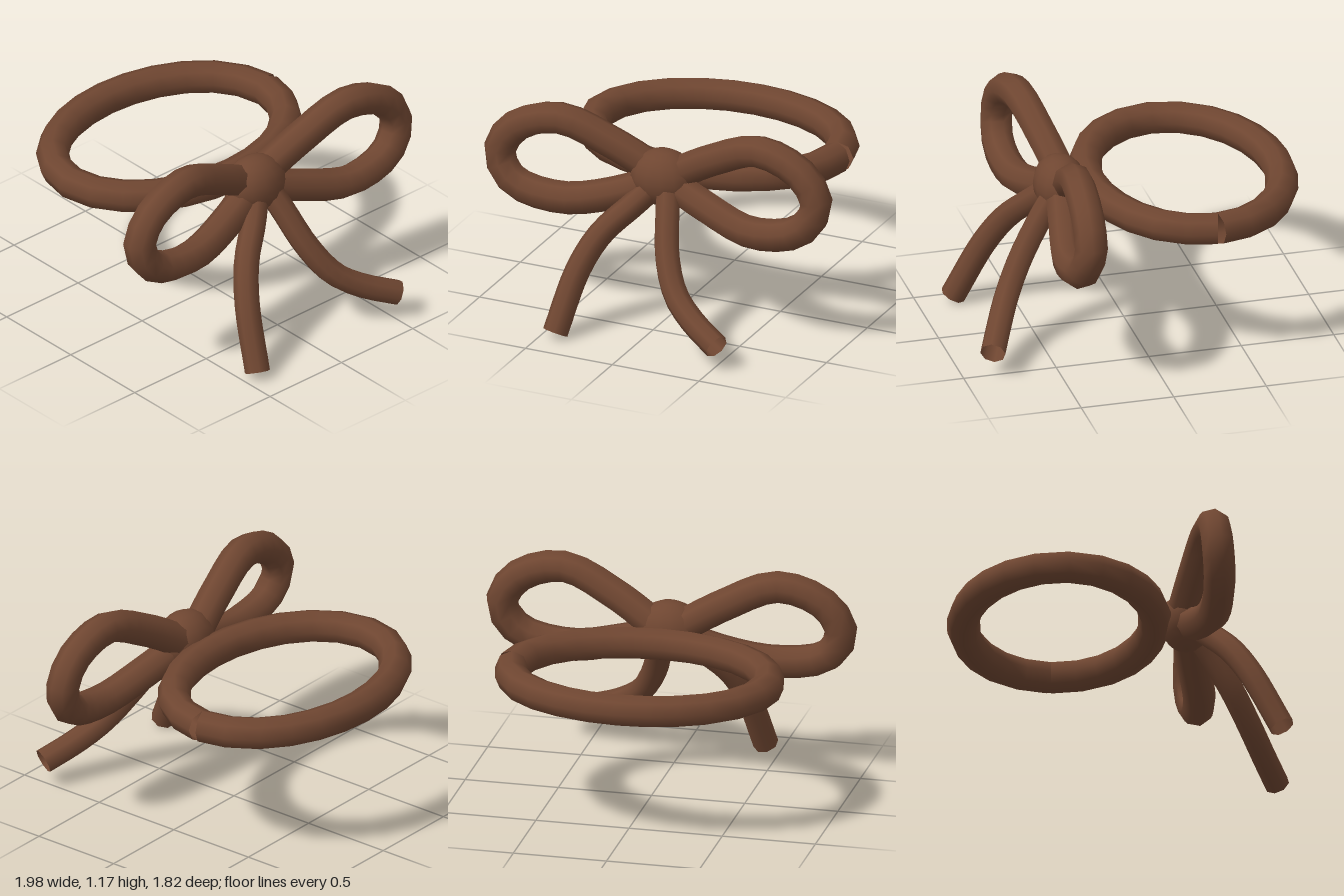
import * as THREE from 'three';

const V = (p) => new THREE.Vector3(...p);

export function createModel() {
  const group = new THREE.Group();
  const mat = new THREE.MeshStandardMaterial({ color: 0x6f4631, side: THREE.DoubleSide });

  const add = (name, geometry) => {
    const mesh = new THREE.Mesh(geometry, mat);
    mesh.name = name;
    group.add(mesh);
    return mesh;
  };
  // Round cord swept through a few points
  const cord = (name, points, segments, radius) =>
    add(name, new THREE.TubeGeometry(new THREE.CatmullRomCurve3(points.map(V)), segments, radius, 8));

  // Flat band whose two ends meet in a small notch on the left
  const ring = [];
  for (let i = 0; i <= 16; i++) {
    const a = (i / 16) * Math.PI * 2;
    ring.push([-0.015 + 0.685 * Math.cos(a), 0.785, -0.328 + 0.5 * Math.sin(a)]);
  }
  cord('ringBand', ring, 24, 0.087);

  // Bow loops
  cord('leftLoop', [
    [0.03, 0.82, 0.31], [0.28, 0.97, 0.36], [0.57, 1.085, 0.4], [0.82, 1.0, 0.415], [0.905, 0.85, 0.42],
    [0.82, 0.7, 0.44], [0.55, 0.637, 0.445], [0.25, 0.71, 0.39], [0.02, 0.79, 0.34],
  ], 24, 0.087);
  cord('rightLoop', [
    [-0.05, 0.82, 0.31], [-0.3, 0.96, 0.36], [-0.58, 1.068, 0.41], [-0.83, 0.98, 0.43], [-0.912, 0.83, 0.44],
    [-0.83, 0.69, 0.455], [-0.55, 0.637, 0.45], [-0.25, 0.7, 0.39], [-0.04, 0.79, 0.34],
  ], 24, 0.087);

  // Hanging tails
  cord('leftTail', [
    [0.03, 0.8, 0.37], [0.065, 0.68, 0.46], [0.125, 0.48, 0.59], [0.22, 0.32, 0.69],
    [0.35, 0.225, 0.765], [0.53, 0.145, 0.85],
  ], 14, 0.067);
  cord('rightTail', [
    [-0.03, 0.79, 0.37], [-0.13, 0.68, 0.46], [-0.27, 0.53, 0.56], [-0.355, 0.35, 0.66], [-0.418, 0.035, 0.81],
  ], 14, 0.067);

  // Centre knot
  const knot = add('knot', new THREE.SphereGeometry(1, 14, 10));
  knot.scale.set(0.18, 0.157, 0.14);
  knot.position.set(-0.015, 0.81, 0.34);

  return group;
}
